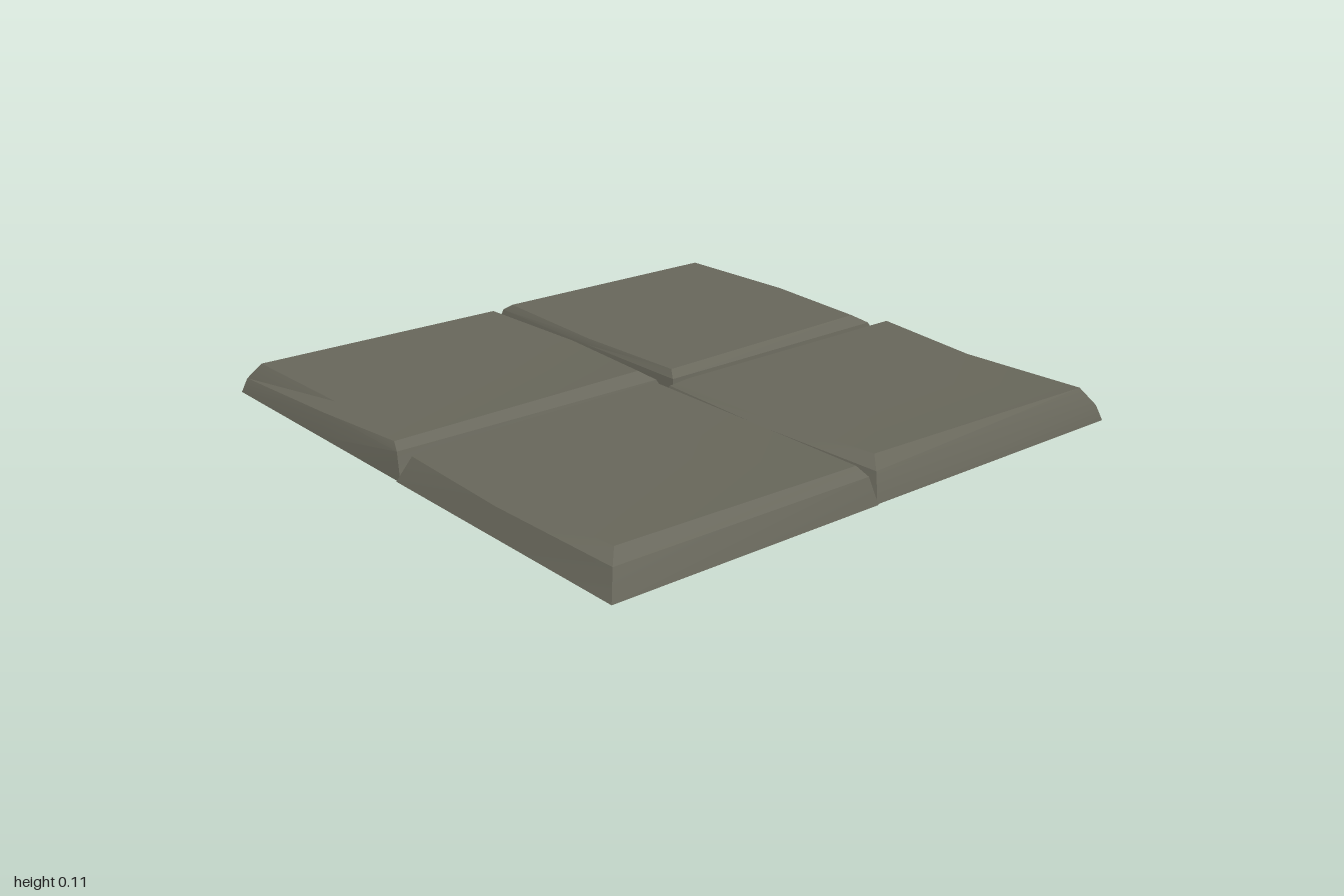
import * as THREE from 'three';
import { toCreasedNormals } from 'three/addons/utils/BufferGeometryUtils.js';

// Corner rows: top x, top z, top y, base x, base z, shoulder y, shoulder blend (base to top)
const chamferedSlab = [
  [-0.91, -0.92, 0.108, -1.00, -1.00, 0.08, 0.45],
  [-0.46, -0.95, 0.105, -0.46, -1.00, 0.08, 0.45],
  [-0.05, -0.915, 0.108, 0.02, -1.00, 0.08, 0.45],
  [-0.03, -0.06, 0.105, 0.015, -0.035, 0.08, 0.45],
  [-0.46, -0.05, 0.10, -0.46, -0.035, 0.08, 0.45],
  [-0.93, -0.06, 0.105, -1.00, -0.035, 0.08, 0.45],
];
const wornSlab = [
  [-0.905, 0.04, 0.108, -0.995, -0.035, 0.08, 0.45],
  [-0.48, 0.005, 0.10, -0.48, -0.035, 0.08, 0.45],
  [-0.08, 0.04, 0.108, 0.00, -0.035, 0.08, 0.45],
  [-0.07, 0.97, 0.105, -0.005, 0.995, 0.085, 0.5],
  [-0.48, 0.93, 0.10, -0.48, 0.995, 0.075, 0.3],
  [-0.935, 0.945, 0.105, -0.995, 0.995, 0.05, 0.3],
];

// Shell with an open underside: base ring, shoulder ring, top ring and a fan
function slabGeometry(corners) {
  const n = corners.length;
  const points = [];
  for (const [, , , bx, bz] of corners) points.push(bx, 0, bz);
  for (const [tx, tz, , bx, bz, y, t] of corners) {
    points.push(bx + (tx - bx) * t, y, bz + (tz - bz) * t);
  }
  for (const [tx, tz, ty] of corners) points.push(tx, ty, tz);
  const middle = [0, 0, 0];
  for (const [tx, tz, ty] of corners) {
    middle[0] += tx / n;
    middle[1] += ty / n;
    middle[2] += tz / n;
  }
  points.push(...middle);

  const index = [];
  for (let i = 0; i < n; i++) {
    const j = (i + 1) % n;
    for (const ring of [0, n]) {
      const a = ring + i, b = ring + j;
      index.push(a, a + n, b, b, a + n, b + n);
    }
    index.push(3 * n, 2 * n + j, 2 * n + i);
  }
  const geometry = new THREE.BufferGeometry();
  geometry.setAttribute('position', new THREE.Float32BufferAttribute(points, 3));
  geometry.setIndex(index);
  return toCreasedNormals(geometry, 0.35);
}

export function createModel() {
  const stone = new THREE.MeshStandardMaterial({ color: 0x68675b, side: THREE.DoubleSide });
  stone.name = 'stone';
  const model = new THREE.Group();
  model.name = 'pavingSlabs';

  // Each slab has a twin turned half way round the centre
  const slabs = [
    [chamferedSlab, 'backRightSlab', 'frontLeftSlab'],
    [wornSlab, 'frontRightSlab', 'backLeftSlab'],
  ];
  for (const [corners, name, twinName] of slabs) {
    const slab = new THREE.Mesh(slabGeometry(corners), stone);
    slab.name = name;
    const twin = slab.clone();
    twin.name = twinName;
    twin.rotation.y = Math.PI;
    model.add(slab, twin);
  }
  return model;
}
